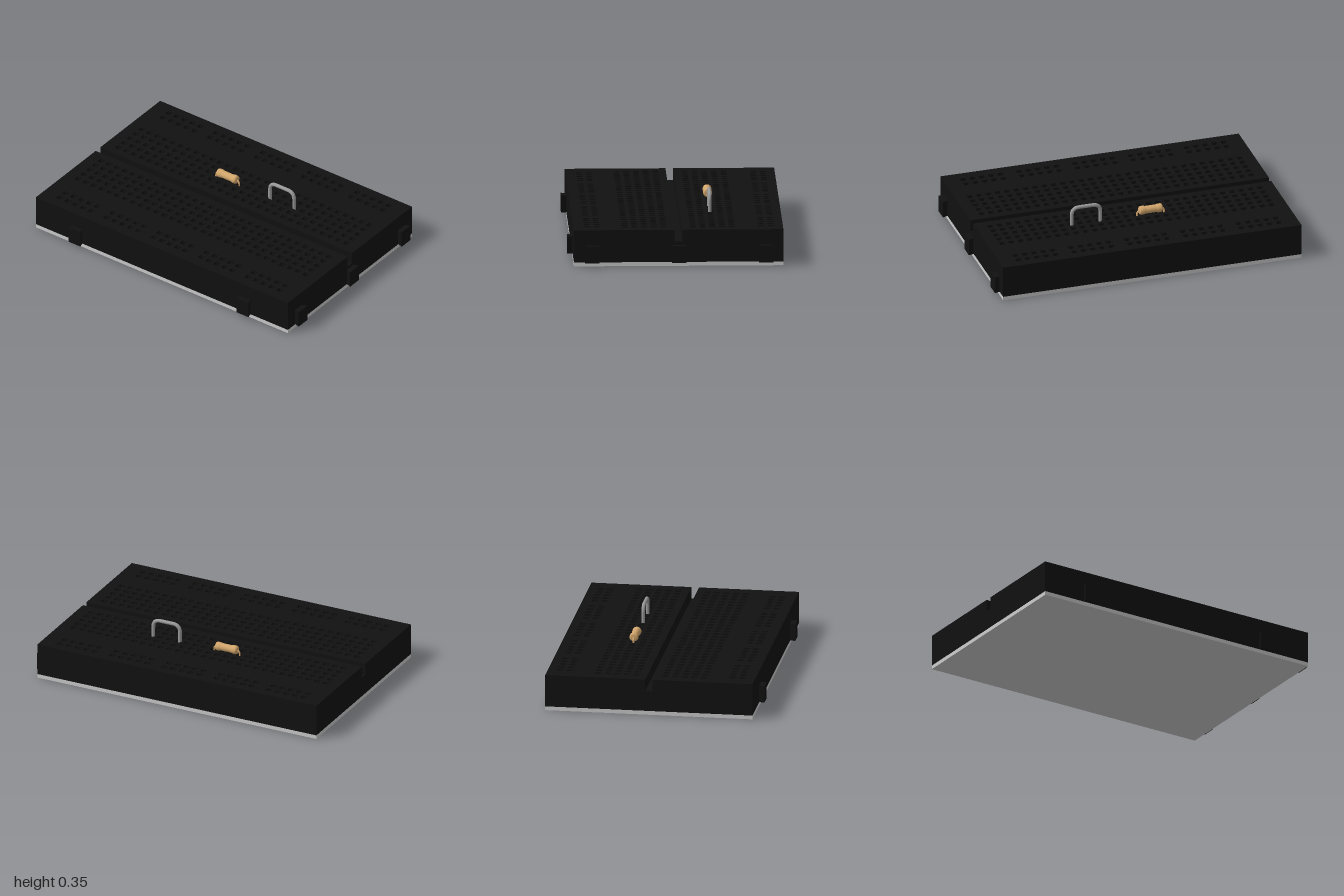
import * as THREE from 'three';

const X0 = -1, X1 = 0.966, Z0 = -0.676, Z1 = 0.642; // board outline
const PAD = 0.025, FLOOR = 0.155, TOP = 0.231;      // heights
const PITCH = 0.0613, HOLE = 0.036, MID = -0.017;
const GROOVE = [-0.04, 0.008];

const black = new THREE.MeshStandardMaterial({ color: 0x111111 });
const grey = new THREE.MeshStandardMaterial({ color: 0xcccccc });
const metal = new THREE.MeshStandardMaterial({ color: 0x999999 });
const tan = new THREE.MeshStandardMaterial({ color: 0xd2a66c });

function add(parent, name, geometry, material) {
  const mesh = new THREE.Mesh(geometry, material);
  mesh.name = name;
  parent.add(mesh);
  return mesh;
}

function block(x0, x1, y0, y1, z0, z1) {
  return new THREE.BoxGeometry(x1 - x0, y1 - y0, z1 - z0)
    .translate((x0 + x1) / 2, (y0 + y1) / 2, (z0 + z1) / 2);
}

// Extrude a plan shape (drawn with y = -z) upward from y0 to y1
function slab(shape, y0, y1) {
  return new THREE.ExtrudeGeometry(shape, { depth: y1 - y0, bevelEnabled: false })
    .rotateX(-Math.PI / 2).translate(0, y0, 0);
}

// Centres of the square contact holes between two z limits
function holeCentres(zMin, zMax) {
  const list = [];
  for (const side of [-1, 1]) {
    for (let row = 0; row < 5; row++) {
      for (let col = 0; col < 30; col++) {
        list.push([MID + (col - 14.5) * PITCH, MID + side * (1.5 + row) * PITCH]);
      }
    }
    // Power rails: five groups of five, two rows
    for (let row = 0; row < 2; row++) {
      for (let col = 0; col < 29; col++) {
        if (col % 6 !== 5) list.push([MID + (col - 14) * PITCH, -0.022 + side * (0.517 + row * PITCH)]);
      }
    }
  }
  return list.filter(([, z]) => z > zMin && z < zMax);
}

function perforatedHalf(zMin, zMax) {
  const shape = new THREE.Shape([[X0, -zMax], [X1, -zMax], [X1, -zMin], [X0, -zMin]]
    .map(([x, y]) => new THREE.Vector2(x, y)));
  const h = HOLE / 2;
  for (const [x, z] of holeCentres(zMin, zMax)) {
    shape.holes.push(new THREE.Path([[-h, -h], [-h, h], [h, h], [h, -h]]
      .map(([a, b]) => new THREE.Vector2(x + a, -z + b))));
  }
  return slab(shape, FLOOR, TOP);
}

// Dovetail tab pointing to +z, widest at its outer end
function tabGeometry() {
  const shape = new THREE.Shape([[-0.035, 0.004], [-0.046, -0.034], [0.046, -0.034], [0.035, 0.004]]
    .map(([x, y]) => new THREE.Vector2(x, y)));
  return slab(shape, PAD, 0.134);
}

// Path that rises at x0, crosses at height y and drops at x1, with rounded corners
function staplePath(x0, x1, yBottom, y, r, z) {
  const v = (a, b) => new THREE.Vector3(a, b, z);
  const path = new THREE.CurvePath();
  path.add(new THREE.LineCurve3(v(x0, yBottom), v(x0, y - r)));
  path.add(new THREE.QuadraticBezierCurve3(v(x0, y - r), v(x0, y), v(x0 + r, y)));
  path.add(new THREE.LineCurve3(v(x0 + r, y), v(x1 - r, y)));
  path.add(new THREE.QuadraticBezierCurve3(v(x1 - r, y), v(x1, y), v(x1, y - r)));
  path.add(new THREE.LineCurve3(v(x1, y - r), v(x1, yBottom)));
  return path;
}

export function createModel() {
  const model = new THREE.Group();
  model.name = 'breadboard';

  // Board: adhesive pad, solid lower body, two perforated halves
  add(model, 'backingPad', block(X0, X1, 0, PAD, Z0, Z1), grey);
  add(model, 'lowerBody', block(X0, X1, PAD, FLOOR, Z0, Z1), black);
  add(model, 'backSocketField', perforatedHalf(Z0, GROOVE[0]), black);
  add(model, 'frontSocketField', perforatedHalf(GROOVE[1], Z1), black);

  // Interlocking tabs on the front and left sides
  for (const x of [-0.675, 0.638]) {
    add(model, 'frontTab', tabGeometry(), black).position.set(x, 0, Z1);
  }
  for (const z of [-0.566, -0.02, 0.527]) {
    const tab = add(model, 'sideTab', tabGeometry(), black);
    tab.rotation.y = Math.PI / 2;
    tab.position.set(X1, 0, z);
  }

  // Resistor: body with swollen ends and bent leads
  const resistor = new THREE.Group();
  resistor.name = 'resistor';
  const half = [[0, 0.077], [0.017, 0.077], [0.025, 0.073], [0.028, 0.066],
    [0.028, 0.048], [0.026, 0.04], [0.0245, 0.032]];
  const profile = [...half.map(([r, t]) => [r, -t]), ...half.slice().reverse()]
    .map(([r, t]) => new THREE.Vector2(r, t));
  const body = add(resistor, 'resistorBody', new THREE.LatheGeometry(profile, 32), tan);
  body.rotation.z = Math.PI / 2;
  body.position.set(-0.145, 0.257, -0.23);
  add(resistor, 'resistorLeads',
    new THREE.TubeGeometry(staplePath(-0.235, -0.055, 0.165, 0.257, 0.028, -0.23), 80, 0.006, 10), tan);
  model.add(resistor);

  // Jumper wire
  add(model, 'jumperWire',
    new THREE.TubeGeometry(staplePath(0.186, 0.374, 0.165, 0.343, 0.05, -0.23), 96, 0.012, 16), metal);

  return model;
}
